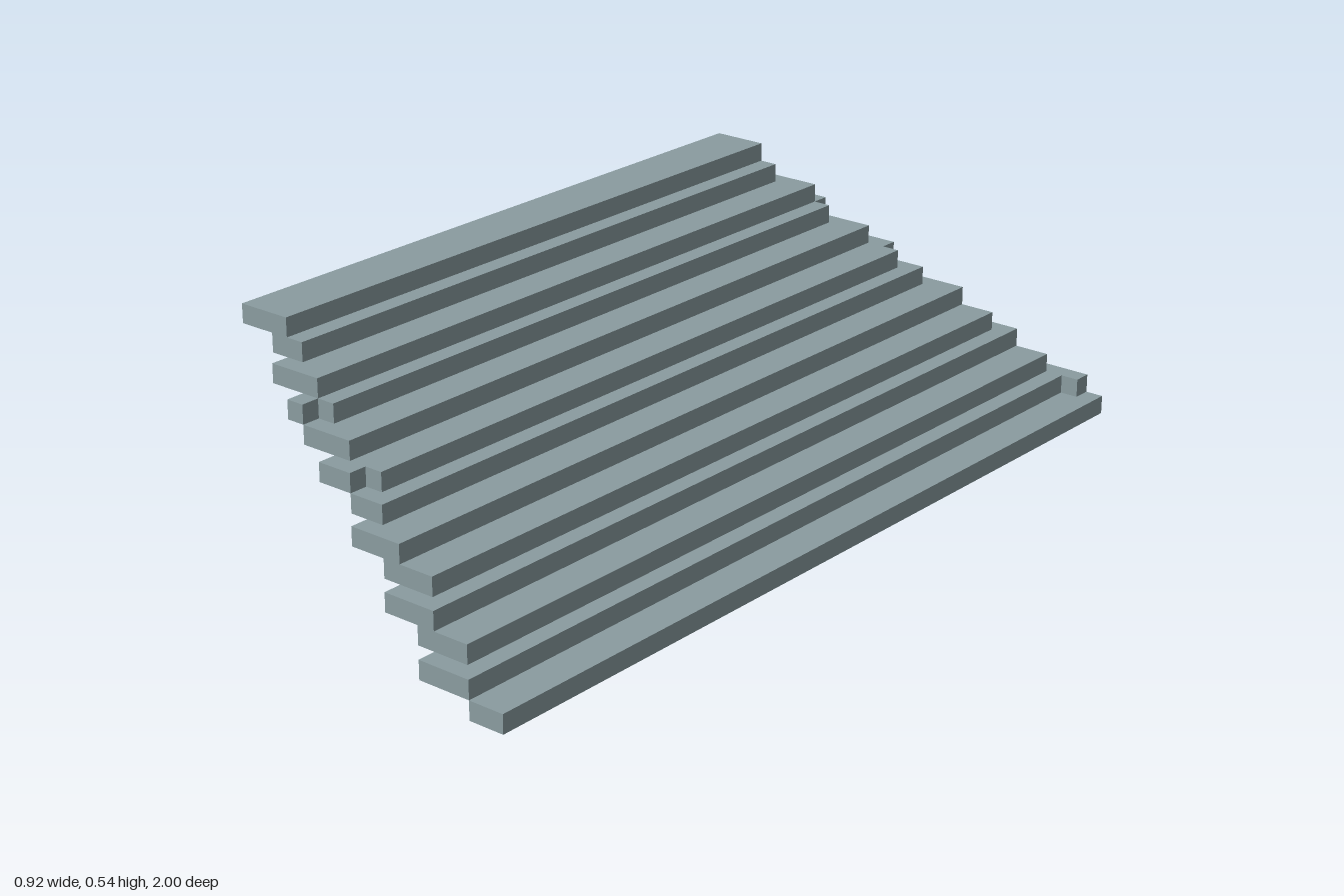
import * as THREE from 'three';

const U = 1 / 24; // grid unit

export function createModel() {
  const group = new THREE.Group();
  const slate = new THREE.MeshStandardMaterial({ color: 0x8a9ca0 });
  slate.name = 'slateGrey';

  // box given in grid units: x range, layer, z range
  const slab = (name, x0, x1, layer, z0, z1) => {
    const mesh = new THREE.Mesh(new THREE.BoxGeometry((x1 - x0) * U, U, (z1 - z0) * U), slate);
    mesh.position.set((x0 + x1) / 2 * U, (layer + 0.5) * U, (z0 + z1) / 2 * U);
    mesh.name = name;
    group.add(mesh);
  };

  // stepped planks from bottom to top: [x start, x end, half length]
  const planks = [
    [9, 11, 24], [6, 9, 24], [5, 8, 23], [3, 6, 23], [2, 5, 22], [0, 3, 22], [-1, 1, 21],
    [-3, -1, 21], [-5, -2, 20], [-6, -5, 20], [-8, -5, 19], [-9, -7, 18], [-11, -8, 18],
  ];
  planks.forEach(([x0, x1, h], layer) => slab(`plank${layer + 1}`, x0, x1, layer, -h, h));

  // shorter nosings along two planks, and a single block at the back corner
  slab('middleNosing', -1, 0, 7, -20, 20);
  slab('upperNosing', -5, -4, 9, -19, 19);
  slab('cornerBlock', 9, 10, 1, -24, -23);

  return group;
}
